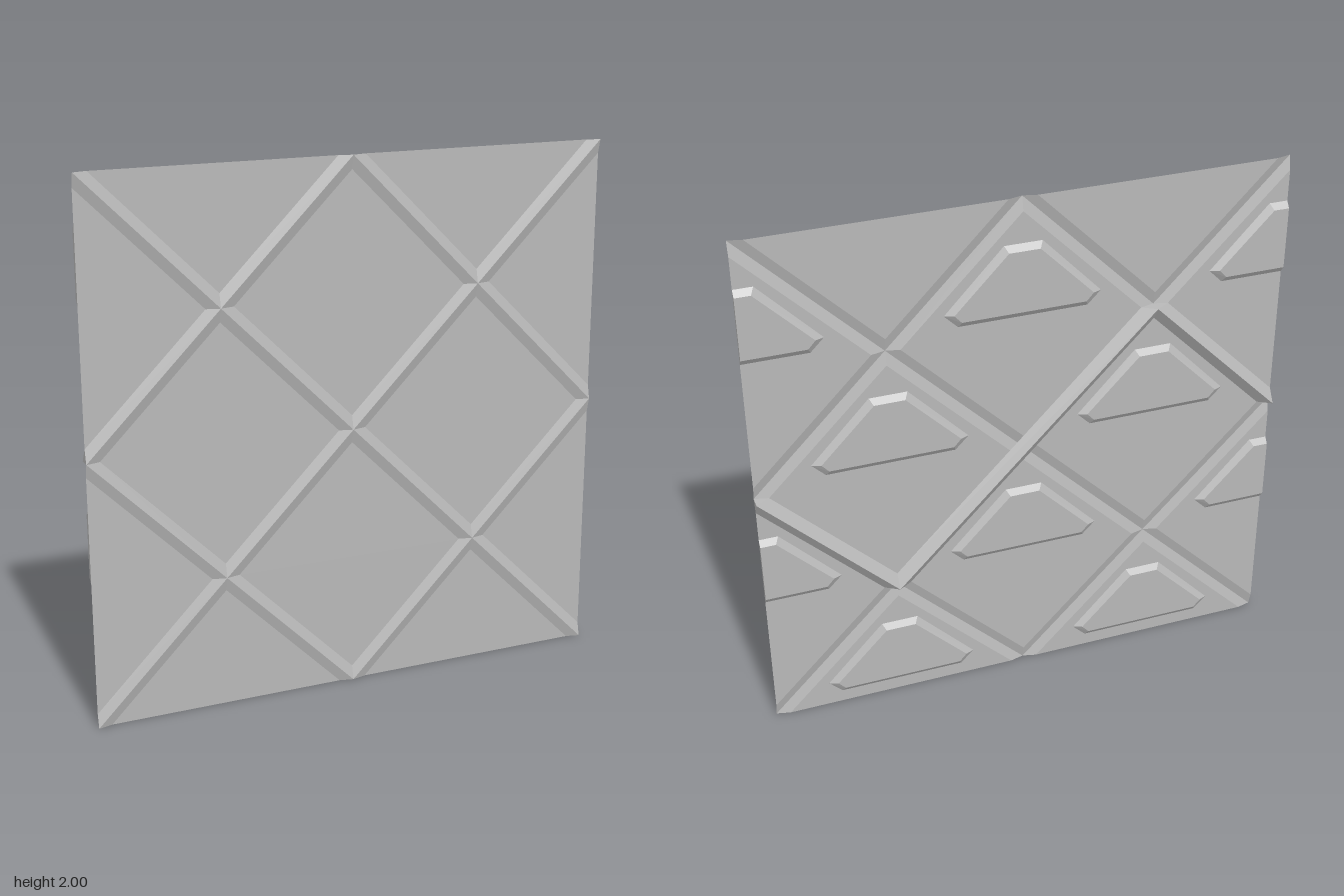
import * as THREE from 'three';

const FLAT = 0.01, FRONT = 0.023, BACK = -0.023, PAD = -0.007; // z levels
const HALF = 0.5, INSET = 0.052; // diamond half diagonal, ridge half width

const steel = new THREE.MeshStandardMaterial({ color: 0xb8b8b8, side: THREE.DoubleSide });
steel.name = 'plain grey';

// Gathers flat-shaded polygons (convex, counter-clockwise) into one mesh
function facetMesh(name, polygons) {
  const pos = [];
  for (const p of polygons) {
    for (let i = 1; i < p.length - 1; i++) pos.push(...p[0], ...p[i], ...p[i + 1]);
  }
  const geo = new THREE.BufferGeometry();
  geo.setAttribute('position', new THREE.Float32BufferAttribute(pos, 3));
  geo.computeVertexNormals();
  const mesh = new THREE.Mesh(geo, steel);
  mesh.name = name;
  return mesh;
}

const DIRS = [[1, 0], [0, 1], [-1, 0], [0, -1]];
const inside = ([x, y]) => Math.abs(x) < 1.001 && y > -0.001 && y < 2.001;

// One diamond: flat middle with four slopes rising to the ridge lines;
// quarters beyond the panel border are left out
function diamondCell(cx, cy) {
  const at = ([dx, dy], r, z) => [cx + dx * r, cy + dy * r, z];
  const polys = [];
  DIRS.forEach((a, k) => {
    const b = DIRS[(k + 1) % 4];
    const oa = at(a, HALF, FRONT), ob = at(b, HALF, FRONT);
    if (!inside(oa) || !inside(ob)) return;
    const ia = at(a, HALF - INSET, FLAT), ib = at(b, HALF - INSET, FLAT);
    polys.push([[cx, cy, FLAT], ia, ib], [ia, oa, ob, ib]);
  });
  return facetMesh('diamondCell', polys);
}

// Half outline of the raised pad on the back: base and inset top
const PAD_BASE = [[0, 0.33], [0.07, 0.33], [0.29, 0.1], [0.24, 0.05], [0, 0.05]];
const PAD_TOP = [[0, 0.307], [0.057, 0.307], [0.257, 0.103], [0.23, 0.073], [0, 0.073]];

function backPad(cx, cy) {
  const polys = [];
  for (const s of [-1, 1]) {
    if (Math.abs(cx + s * 0.2) > 1) continue; // only the half on the panel
    const base = PAD_BASE.map(([x, y]) => [cx + s * x, cy + y, FLAT]);
    const top = PAD_TOP.map(([x, y]) => [cx + s * x, cy + y, PAD]);
    const half = [top];
    for (let i = 0; i < 4; i++) half.push([base[i], base[i + 1], top[i + 1], top[i]]);
    if (Math.abs(cx) > 0.9) half.push([base[4], base[0], top[0], top[4]]); // cut end
    polys.push(...half.map((p) => (s > 0 ? p : p.reverse())));
  }
  return facetMesh('backPad', polys);
}

// Triangular rib on the back along one diagonal, with pointed ends
function backRib([ax, ay], [bx, by]) {
  const sx = Math.sign(bx - ax) * INSET, sy = Math.sign(by - ay) * INSET;
  const a = [ax, ay, BACK], b = [bx, by, BACK];
  const a1 = [ax + sx, ay, FLAT], a2 = [ax, ay + sy, FLAT];
  const b1 = [bx, by - sy, FLAT], b2 = [bx - sx, by, FLAT];
  const af = [ax, ay, FRONT], bf = [bx, by, FRONT];
  const polys = [
    [a, b, b1, a1], [b, a, a2, b2],
    [a, a1, af], [a, af, a2], [b, bf, b1], [b, b2, bf],
  ];
  // Wind outwards for either diagonal
  return facetMesh('backRib', sx * sy > 0 ? polys.map((p) => p.reverse()) : polys);
}

export function createModel() {
  const group = new THREE.Group();
  group.name = 'diamondPanel';

  // Cells sit on a staggered grid of half units
  for (let i = -2; i <= 2; i++) {
    for (let j = 0; j <= 4; j++) {
      if ((i + j) % 2 === 0) continue;
      group.add(diamondCell(i / 2, j / 2));
      if (j < 4) group.add(backPad(i / 2, j / 2));
    }
  }

  // Zigzag rib across the back
  const path = [[1, 1], [0.5, 0.5], [-0.5, 1.5], [-1, 1]];
  for (let i = 0; i < 3; i++) group.add(backRib(path[i], path[i + 1]));

  return group;
}
